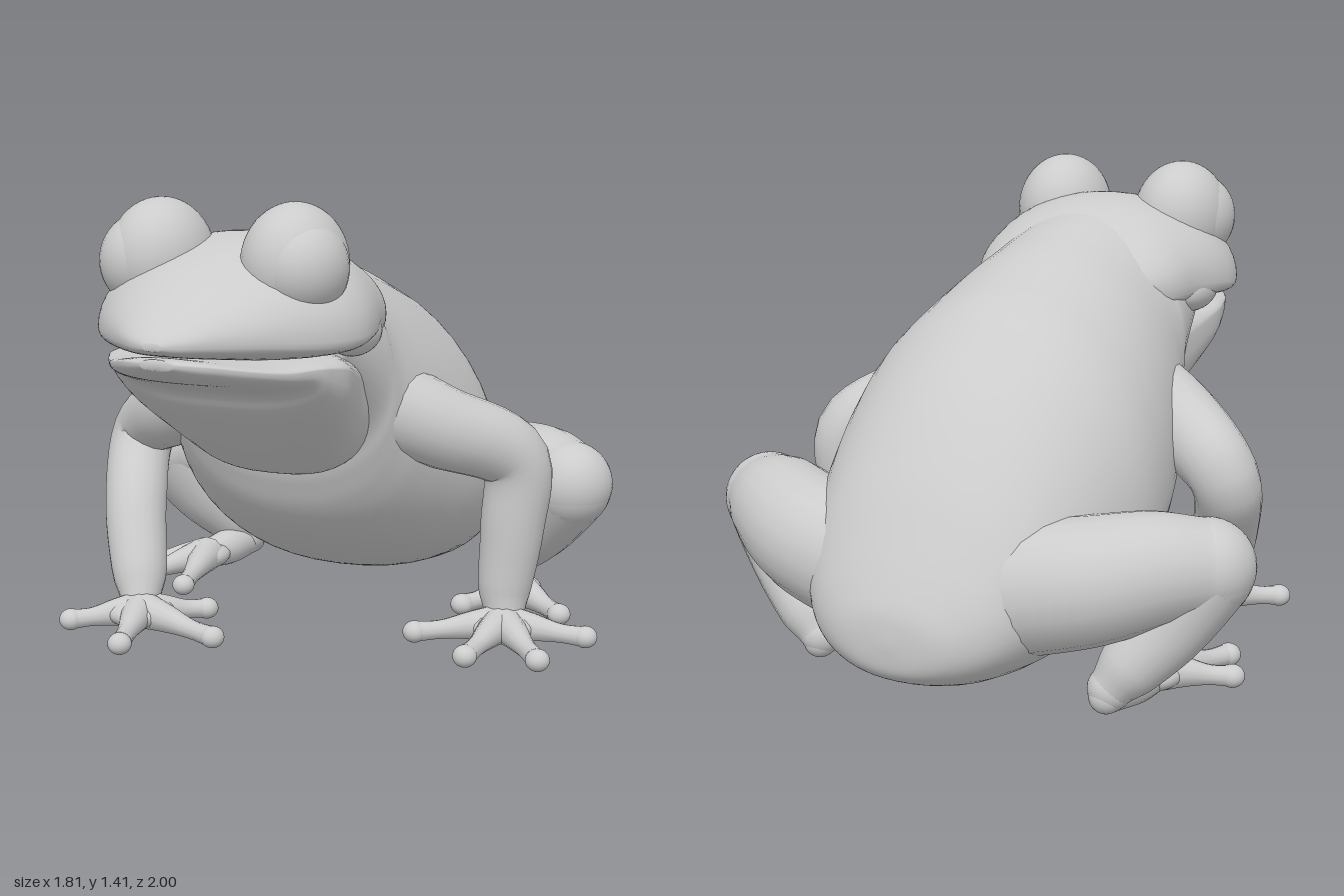
import * as THREE from 'three';
import { mergeVertices } from 'three/addons/utils/BufferGeometryUtils.js';

const material = new THREE.MeshStandardMaterial({ color: 0xcccccc, roughness: 0.8 });
const CX = -0.025; // middle line of the trunk
const V = (p) => new THREE.Vector3(...p);

function part(parent, name, geometry) {
  const mesh = new THREE.Mesh(geometry, material);
  mesh.name = name;
  parent.add(mesh);
  return mesh;
}

function smooth(geometry) {
  geometry.deleteAttribute('uv');
  geometry.deleteAttribute('normal');
  const merged = mergeVertices(geometry, 1e-5);
  merged.computeVertexNormals();
  return merged;
}

function spline(a, b, c, d, t) {
  return 0.5 * (2 * b + (c - a) * t + (2 * a - 5 * b + 4 * c - d) * t * t + (3 * b - a - 3 * c + d) * t ** 3);
}

// Skin over cross-sections, back to front: [z, top, bottom, half width, height of widest point].
// A power below 1 makes the underside boxier.
function loft(rows, power = 1, sides = 48, steps = 6) {
  const pos = [], index = [], rings = (rows.length - 1) * steps + 1;
  const at = (i) => rows[Math.min(Math.max(i, 0), rows.length - 1)];
  let first, last;
  for (let r = 0; r < rings; r++) {
    const i = Math.min(Math.floor(r / steps), rows.length - 2), t = r / steps - i;
    const [z, top, bottom, w, mid] = rows[0].map((_, k) => spline(at(i - 1)[k], at(i)[k], at(i + 1)[k], at(i + 2)[k], t));
    if (r === 0) first = [CX, mid, z];
    last = [CX, mid, z];
    for (let s = 0; s < sides; s++) {
      const a = (s / sides) * Math.PI * 2, c = Math.cos(a), h = Math.sin(a), p = h < 0 ? power : 1;
      const x = Math.sign(c) * Math.abs(c) ** p, y = Math.sign(h) * Math.abs(h) ** p;
      pos.push(CX + x * w, mid + y * (h > 0 ? top - mid : mid - bottom), z);
    }
  }
  pos.push(...first, ...last);
  for (let s = 0; s < sides; s++) {
    const n = (s + 1) % sides, e = (rings - 1) * sides;
    for (let r = 0; r < rings - 1; r++) {
      const a = r * sides + s, b = r * sides + n;
      index.push(a, b, b + sides, a, b + sides, a + sides);
    }
    index.push(rings * sides, n, s, rings * sides + 1, e + s, e + n);
  }
  const g = new THREE.BufferGeometry();
  g.setAttribute('position', new THREE.Float32BufferAttribute(pos, 3));
  g.setIndex(index);
  g.computeVertexNormals();
  return g;
}

// Tube with a radius for each path point
function taperedTube(points, radii, seg = 28, sides = 20) {
  const curve = new THREE.CatmullRomCurve3(points.map(V));
  const g = new THREE.TubeGeometry(curve, seg, 1, sides, false);
  const p = g.attributes.position, v = new THREE.Vector3();
  const at = (j) => radii[Math.min(Math.max(j, 0), radii.length - 1)];
  for (let i = 0; i <= seg; i++) {
    const c = curve.getPointAt(i / seg);
    const t = curve.getUtoTmapping(i / seg) * (radii.length - 1);
    const k = Math.min(Math.floor(t), radii.length - 2);
    const r = spline(at(k - 1), at(k), at(k + 1), at(k + 2), t - k);
    for (let s = 0; s <= sides; s++) {
      const n = i * (sides + 1) + s;
      v.fromBufferAttribute(p, n).sub(c).multiplyScalar(r).add(c);
      p.setXYZ(n, v.x, v.y, v.z);
    }
  }
  return smooth(g);
}

function ellipsoid(parent, name, center, size) {
  const m = part(parent, name, new THREE.SphereGeometry(1, 32, 24));
  m.position.set(...center);
  m.scale.set(...size);
  return m;
}

// Tapered tube with rounded ends
function limb(parent, name, points, radii) {
  const group = new THREE.Group();
  group.name = name;
  parent.add(group);
  part(group, 'limb', taperedTube(points, radii));
  for (const i of [0, points.length - 1]) ellipsoid(group, 'joint', points[i], [radii[i], radii[i], radii[i]]);
}

// Palm or sole with splayed digits that end in round pads; tips are [x, z]
function foot(parent, name, [x, z], size, tips) {
  const group = new THREE.Group();
  group.name = name;
  parent.add(group);
  ellipsoid(group, 'pad', [x, 0.05, z], size);
  for (const [tx, tz] of tips) {
    const along = (f, y) => [x + (tx - x) * f, y, z + (tz - z) * f];
    part(group, 'digit', taperedTube(
      [along(0, 0.055), along(0.35, 0.05), along(0.7, 0.04), along(1, 0.036)], [0.06, 0.045, 0.03, 0.032], 14, 12));
    ellipsoid(group, 'digitTip', [tx, 0.036, tz], [0.037, 0.034, 0.037]);
  }
}

export function createModel() {
  const model = new THREE.Group();
  model.name = 'frog';

  part(model, 'body', loft([
    [-1.0, 0.25, 0.22, 0.02, 0.235], [-0.99, 0.32, 0.155, 0.13, 0.24], [-0.96, 0.39, 0.12, 0.215, 0.25],
    [-0.9, 0.5, 0.09, 0.3, 0.28], [-0.8, 0.66, 0.06, 0.375, 0.33], [-0.65, 0.84, 0.045, 0.44, 0.38],
    [-0.5, 0.97, 0.07, 0.485, 0.43], [-0.35, 1.07, 0.1, 0.51, 0.48], [-0.2, 1.13, 0.15, 0.5, 0.53],
    [-0.05, 1.185, 0.235, 0.465, 0.6], [0.07, 1.22, 0.33, 0.425, 0.68], [0.14, 1.24, 0.41, 0.395, 0.76],
    [0.185, 1.25, 0.5, 0.38, 0.82], [0.24, 1.26, 0.62, 0.365, 0.9], [0.45, 1.28, 0.85, 0.32, 1.0],
  ], 0.92));

  part(model, 'upperHead', loft([
    [0.05, 1.12, 0.98, 0.25, 1.05], [0.18, 1.235, 0.95, 0.34, 1.05], [0.3, 1.285, 0.96, 0.375, 1.05],
    [0.42, 1.3, 0.97, 0.405, 1.04], [0.52, 1.29, 0.965, 0.41, 1.03], [0.62, 1.265, 0.967, 0.38, 1.03],
    [0.72, 1.23, 0.975, 0.32, 1.035], [0.82, 1.18, 0.99, 0.245, 1.045], [0.91, 1.13, 1.005, 0.16, 1.05],
    [0.97, 1.085, 1.02, 0.09, 1.05], [1.0, 1.055, 1.035, 0.025, 1.045],
  ], 0.7));

  part(model, 'lowerJawAndChest', loft([
    [-0.05, 0.95, 0.66, 0.25, 0.8], [0.08, 1.0, 0.575, 0.29, 0.8], [0.18, 1.0, 0.54, 0.31, 0.82],
    [0.26, 1.0, 0.548, 0.32, 0.84], [0.34, 1.0, 0.595, 0.33, 0.87], [0.43, 1.0, 0.66, 0.35, 0.9],
    [0.52, 1.0, 0.73, 0.365, 0.93], [0.6, 0.99, 0.8, 0.35, 0.945], [0.65, 0.985, 0.86, 0.33, 0.95],
    [0.74, 0.985, 0.895, 0.28, 0.95], [0.83, 0.99, 0.92, 0.22, 0.965], [0.92, 1.005, 0.95, 0.135, 0.985],
    [0.98, 1.01, 0.98, 0.045, 0.995],
  ], 0.75));

  for (const s of [-1, 1]) {
    // Bulging eyes under rounded lids
    ellipsoid(model, 'eyelid', [CX + s * 0.21, 1.225, 0.545], [0.15, 0.175, 0.175]);
    ellipsoid(model, 'eyeball', [CX + s * 0.245, 1.22, 0.575], [0.13, 0.14, 0.145]);
    ellipsoid(model, 'mouthCorner', [CX + s * 0.325, 1.015, 0.38], [0.065, 0.065, 0.13]);
  }

  // Front legs, posed differently on each side
  limb(model, 'leftFrontLeg',
    [[0.24, 0.76, 0.07], [0.42, 0.68, 0.0], [0.615, 0.565, -0.145], [0.615, 0.35, -0.145], [0.6, 0.15, -0.125], [0.61, 0.07, -0.1]],
    [0.145, 0.128, 0.11, 0.1, 0.083, 0.06]);
  foot(model, 'leftHand', [0.61, -0.08], [0.11, 0.05, 0.11], [[0.37, 0.06], [0.59, 0.22], [0.8, 0.17], [0.87, -0.1]]);
  limb(model, 'rightFrontLeg',
    [[-0.28, 0.76, 0.07], [-0.46, 0.68, 0.02], [-0.645, 0.56, -0.08], [-0.6, 0.35, 0.07], [-0.53, 0.15, 0.18], [-0.5, 0.07, 0.23]],
    [0.145, 0.128, 0.105, 0.1, 0.088, 0.06]);
  foot(model, 'rightHand', [-0.49, 0.25], [0.11, 0.05, 0.11], [[-0.67, 0.38], [-0.41, 0.53], [-0.18, 0.36], [-0.33, 0.1]]);

  // Folded hind legs
  limb(model, 'leftThigh',
    [[0.14, 0.33, -0.7], [0.42, 0.385, -0.66], [0.59, 0.42, -0.57], [0.7, 0.42, -0.485]], [0.2, 0.185, 0.163, 0.138]);
  limb(model, 'leftShin',
    [[0.7, 0.41, -0.485], [0.58, 0.25, -0.56], [0.46, 0.13, -0.635], [0.41, 0.075, -0.655]], [0.135, 0.115, 0.09, 0.065]);
  limb(model, 'leftSole', [[0.41, 0.055, -0.665], [0.48, 0.055, -0.56], [0.55, 0.05, -0.45]], [0.05, 0.062, 0.045]);
  foot(model, 'leftHindFoot', [0.54, -0.46], [0.075, 0.045, 0.1], [[0.73, -0.29], [0.57, -0.2], [0.41, -0.27]]);
  limb(model, 'rightThigh',
    [[-0.19, 0.33, -0.7], [-0.47, 0.385, -0.66], [-0.64, 0.42, -0.57], [-0.76, 0.42, -0.485]], [0.2, 0.185, 0.163, 0.138]);
  limb(model, 'rightShin',
    [[-0.76, 0.41, -0.485], [-0.67, 0.25, -0.55], [-0.58, 0.13, -0.62], [-0.54, 0.075, -0.645]], [0.135, 0.115, 0.09, 0.065]);
  limb(model, 'rightSole', [[-0.535, 0.055, -0.66], [-0.565, 0.055, -0.53], [-0.6, 0.05, -0.4]], [0.05, 0.062, 0.045]);
  foot(model, 'rightHindFoot', [-0.59, -0.42], [0.075, 0.045, 0.1], [[-0.78, -0.32], [-0.71, -0.17], [-0.52, -0.1]]);

  return model;
}
